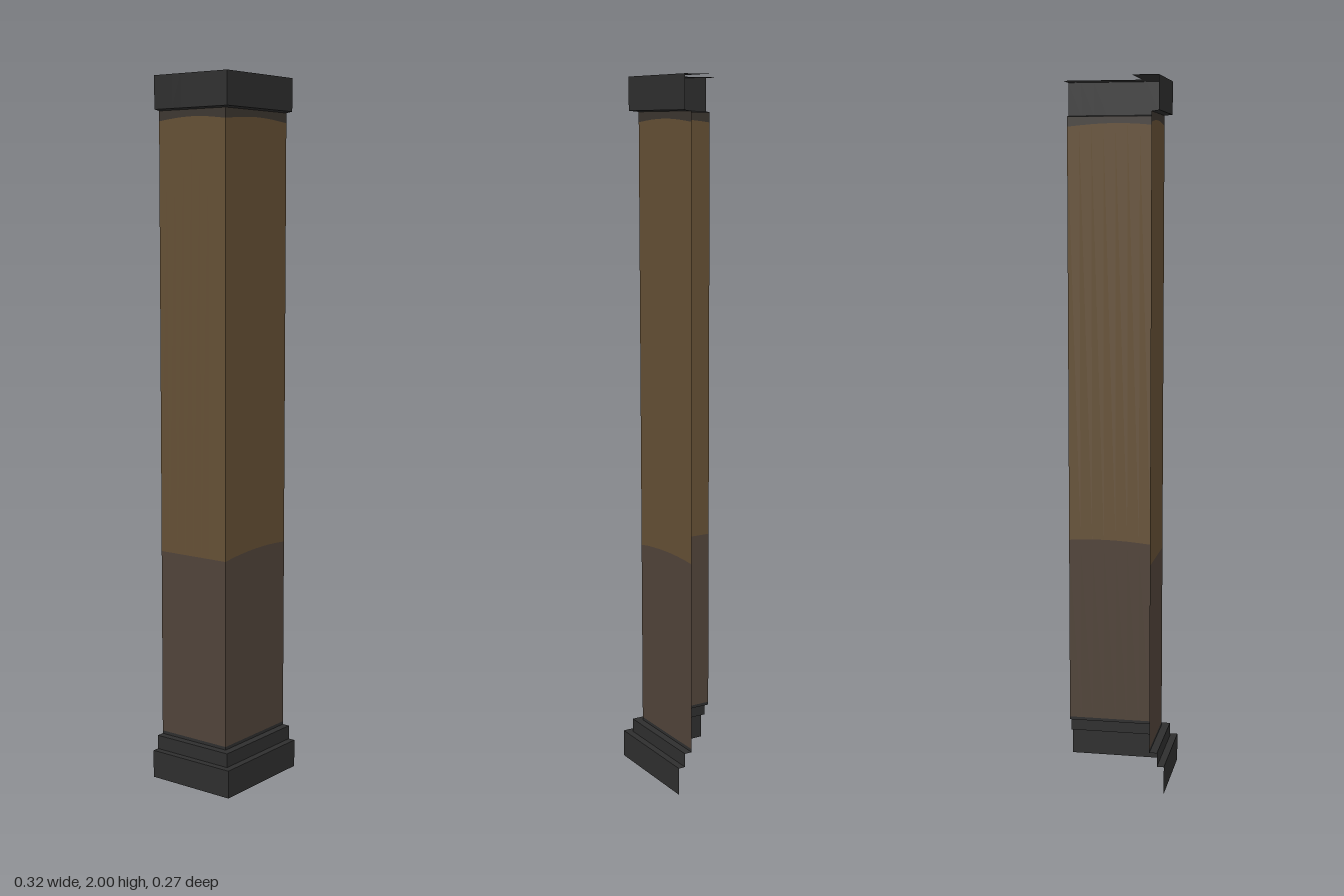
import * as THREE from 'three';

const WALL_X = -0.12, WALL_Z = 0.095, END_X = 0.16, END_Z = -0.137;
const STEPS = 8; // columns per arm of the L

// Point on the L-shaped plan, pushed outward by d; t = 0 back end, 1 corner, 2 right end
function planPoint(t, d, y) {
  const cx = WALL_X - d, cz = WALL_Z + d;
  return t <= 1
    ? [cx, y, THREE.MathUtils.lerp(END_Z, cz, t)]
    : [THREE.MathUtils.lerp(cx, END_X, t - 1), y, cz];
}

// Sheet swept along the L from a profile of [outward offset, height or height(t)]
function sweep(name, profile, material) {
  const pos = [];
  const at = ([d, y], t) => planPoint(t, d, typeof y === 'function' ? y(t) : y);
  for (let i = 0; i < profile.length - 1; i++) {
    for (let k = 0; k < 2 * STEPS; k++) {
      const t0 = k / STEPS, t1 = (k + 1) / STEPS;
      const a = at(profile[i], t0), b = at(profile[i], t1);
      const c = at(profile[i + 1], t1), e = at(profile[i + 1], t0);
      pos.push(...a, ...b, ...c, ...a, ...c, ...e);
    }
  }
  const geo = new THREE.BufferGeometry();
  geo.setAttribute('position', new THREE.Float32BufferAttribute(pos, 3));
  geo.computeVertexNormals();
  const mesh = new THREE.Mesh(geo, material);
  mesh.name = name;
  return mesh;
}

export function createModel() {
  const mat = (name, color) =>
    new THREE.MeshStandardMaterial({ name, color, side: THREE.DoubleSide });
  const charcoal = mat('charcoal trim', 0x2e2e2e);
  const brown = mat('upper brown', 0x644f34);
  const umber = mat('lower umber', 0x504339);
  const shade = mat('dark band', 0x3c3630);

  // Slightly wavy colour borders on the front arm
  const border = t => (t <= 1 ? 0.665 : 0.667 + 0.013 * Math.sin((t - 1) * 2.4));
  const bandEdge = t => 1.877 + 0.009 * Math.abs(Math.sin(t * Math.PI));

  const group = new THREE.Group();
  group.name = 'cornerPilaster';
  group.add(
    // Stepped plinth
    sweep('base', [[0.042, 0], [0.042, 0.08], [0.022, 0.08], [0.022, 0.12], [0, 0.12], [0, 0.129]], charcoal),
    // Shaft, split by colour
    sweep('lowerShaft', [[0, 0.129], [0, border]], umber),
    sweep('upperShaft', [[0, border], [0, bandEdge]], brown),
    sweep('neckBand', [[0, bandEdge], [0, 1.905]], shade),
    // Cap with overhang and flat top turned inward
    sweep('cap', [[0, 1.905], [0.02, 1.908], [0.02, 2], [-0.054, 2]], charcoal),
  );
  return group;
}
